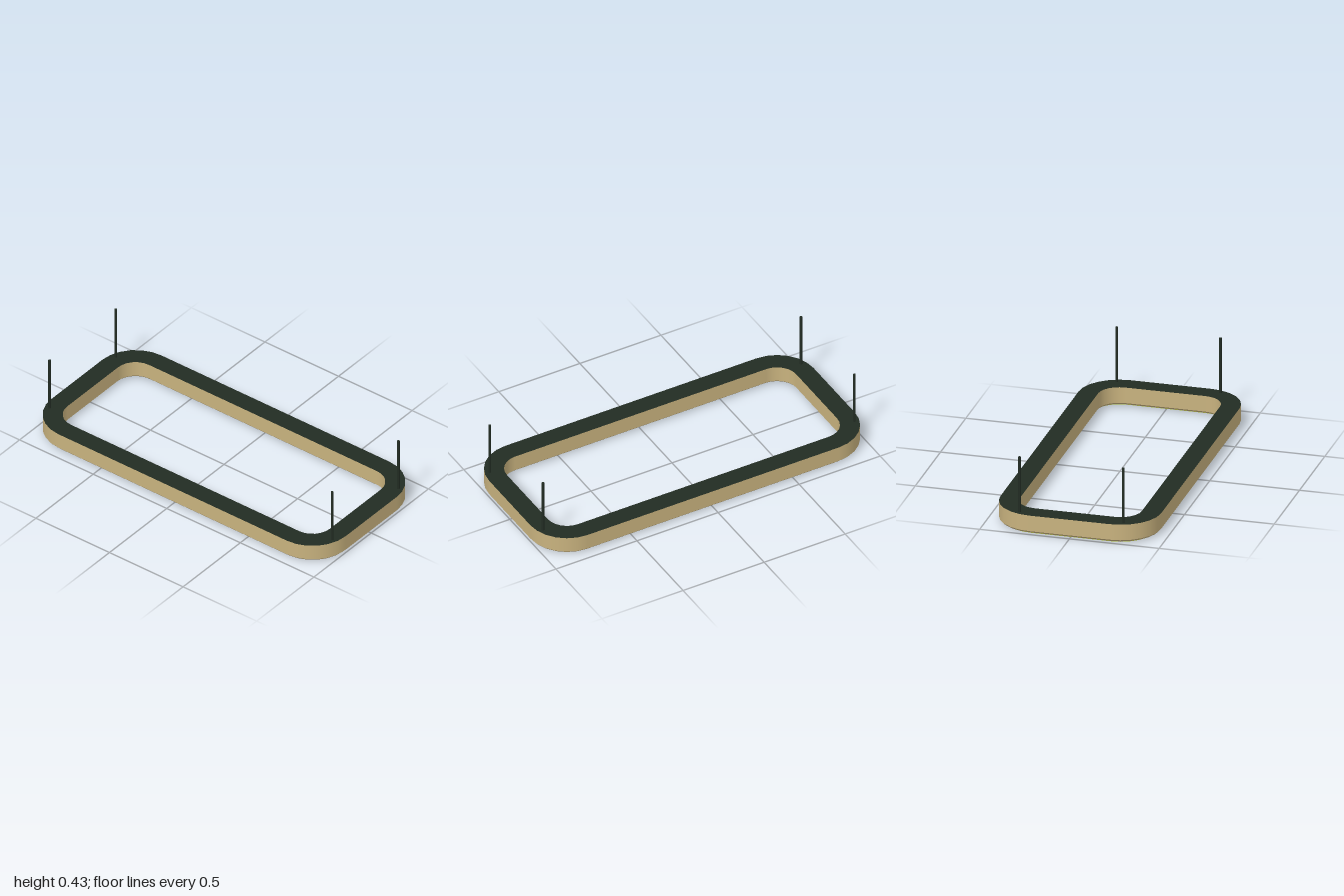
import * as THREE from 'three';

const CORNER_STEPS = 6;
const HALF_X = 0.946, HALF_Z = 0.394, RADIUS = 0.171; // centre line of the frame

// Points of the rounded rectangle with their outward directions
function framePath() {
  const path = [];
  const signs = [[1, 1], [-1, 1], [-1, -1], [1, -1]];
  signs.forEach(([sx, sz], corner) => {
    for (let i = 0; i <= CORNER_STEPS; i++) {
      const a = (corner + i / CORNER_STEPS) * Math.PI / 2;
      const nx = Math.cos(a), nz = Math.sin(a);
      path.push({
        x: sx * (HALF_X - RADIUS) + nx * RADIUS,
        z: sz * (HALF_Z - RADIUS) + nz * RADIUS,
        nx, nz,
      });
    }
  });
  path.push(path[0]);
  return path;
}

// Sweeps an open counter-clockwise profile of [offset, y] round the frame,
// smooth along the path and sharp between profile segments
function sweep(profile) {
  const path = framePath();
  const positions = [], normals = [], index = [];
  for (let s = 0; s < profile.length - 1; s++) {
    const [d0, y0] = profile[s], [d1, y1] = profile[s + 1];
    const len = Math.hypot(d1 - d0, y1 - y0);
    const nd = (y1 - y0) / len, ny = (d0 - d1) / len;
    const base = positions.length / 3;
    path.forEach((p, i) => {
      for (const [d, y] of [[d0, y0], [d1, y1]]) {
        positions.push(p.x + p.nx * d, y, p.z + p.nz * d);
        normals.push(p.nx * nd, ny, p.nz * nd);
      }
      if (i < path.length - 1) {
        const a = base + i * 2;
        index.push(a, a + 1, a + 2, a + 1, a + 3, a + 2);
      }
    });
  }
  const geometry = new THREE.BufferGeometry();
  geometry.setAttribute('position', new THREE.Float32BufferAttribute(positions, 3));
  geometry.setAttribute('normal', new THREE.Float32BufferAttribute(normals, 3));
  geometry.setIndex(index);
  return geometry;
}

export function createModel() {
  const group = new THREE.Group();
  const material = (name, color) => {
    const m = new THREE.MeshStandardMaterial({ color });
    m.name = name;
    return m;
  };
  const tan = material('tan', 0xc8b27e);
  const dark = material('dark green', 0x222c23);
  const lime = material('lime', 0xb0bf36);

  const add = (name, geometry, mat) => {
    const mesh = new THREE.Mesh(geometry, mat);
    mesh.name = name;
    group.add(mesh);
    return mesh;
  };

  // Frame walls with a small chamfer at the bottom edges
  const W = 0.054, C = 0.045, TOP = 0.11, EDGE = 0.02, BASE = 0.01;
  add('outerWall', sweep([[C, BASE], [W, EDGE], [W, TOP]]), tan);
  add('innerWall', sweep([[-W, TOP], [-W, EDGE], [-C, BASE]]), tan);

  // Dark top and underside
  add('topFace', sweep([[W, TOP], [-W, TOP]]), dark);
  add('underside', sweep([[-C, BASE], [C, BASE]]), dark);

  // Light strip below the frame
  const S = 0.026;
  add('lightStrip', sweep([[-S, BASE], [-S, 0], [S, 0], [S, BASE]]), lime);

  // Hanging rods
  const rod = new THREE.CylinderGeometry(0.0075, 0.0075, 0.328, 12);
  for (const sx of [-1, 1]) {
    for (const sz of [-1, 1]) {
      add('hangingRod', rod, dark).position.set(sx * 0.96, 0.264, sz * 0.289);
    }
  }
  return group;
}
